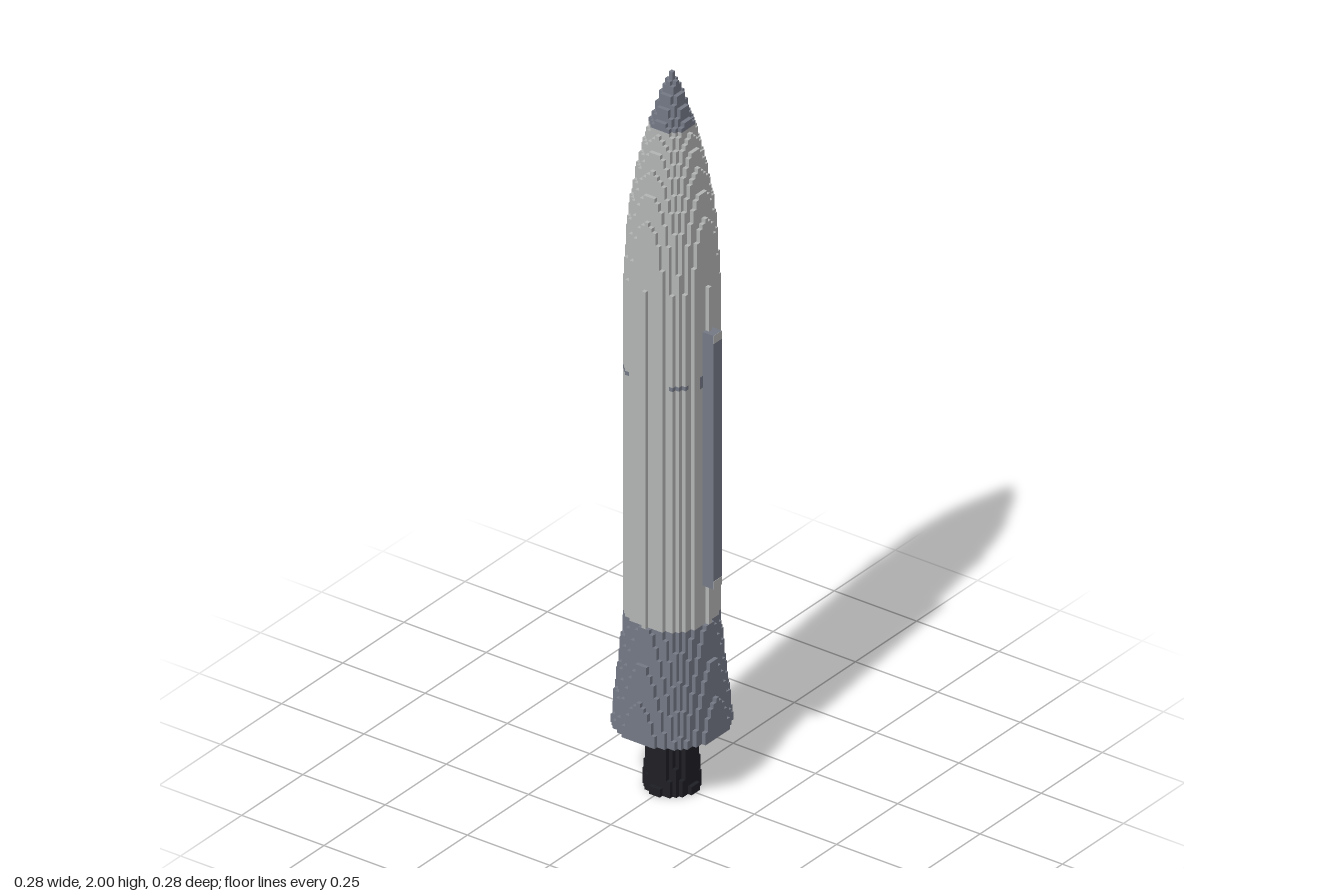
import * as THREE from 'three';
import { mergeGeometries } from 'three/addons/utils/BufferGeometryUtils.js';

const V = 1 / 90; // edge of one block; the rocket is 180 blocks tall

function material(name, color) {
  const m = new THREE.MeshStandardMaterial({ color });
  m.name = name;
  return m;
}

// Stepped outline of a disc of blocks with radius r
function outline(r) {
  const n = Math.floor(r + 1e-6);
  const side = [];
  for (let z = -n; z <= n; z++) {
    const w = Math.floor(Math.sqrt(Math.max(0, r * r - z * z)) + 1e-6) + 0.5;
    const last = side[side.length - 1];
    if (last && last[0] === w) last[1] = z + 0.5;
    else side.push([w, z - 0.5], [w, z + 0.5]);
  }
  const left = side.map(([x, z]) => [-x, z]).reverse();
  return [...side, ...left].map(([x, z]) => new THREE.Vector2(x * V, z * V));
}

// Stack of stepped discs or rings; equal neighbouring layers become one slab
function stack(name, mat, from, to, radius, inner = () => 0) {
  const geometries = [];
  const section = (j) => [outline(radius(j)), inner(j) > 0 ? outline(inner(j)) : null];
  const key = (s) => JSON.stringify(s);
  let start = from;
  while (start < to) {
    const s = section(start);
    let end = start + 1;
    while (end < to && key(section(end)) === key(s)) end++;
    const shape = new THREE.Shape(s[0]);
    if (s[1]) shape.holes.push(new THREE.Path(s[1]));
    const g = new THREE.ExtrudeGeometry(shape, { depth: (end - start) * V, bevelEnabled: false });
    g.rotateX(-Math.PI / 2);
    g.translate(0, start * V, 0);
    geometries.push(g);
    start = end;
  }
  const mesh = new THREE.Mesh(mergeGeometries(geometries), mat);
  mesh.name = name;
  return mesh;
}

// Box with its size and centre given in blocks
function box(name, mat, size, centre) {
  const mesh = new THREE.Mesh(new THREE.BoxGeometry(...size.map((s) => s * V)), mat);
  mesh.position.set(...centre.map((c) => c * V));
  mesh.name = name;
  return mesh;
}

export function createModel() {
  const hull = material('light grey hull', 0xb3b4b4);
  const slate = material('slate grey', 0x747985);
  const black = material('engine black', 0x1e1f25);
  const rocket = new THREE.Group();
  rocket.name = 'rocket';

  // Body tube, rounded nose and dark tip
  const nose = (j) => 10 * (1 - Math.pow((j - 128) / 52, 2.07));
  rocket.add(stack('body', hull, 44, 128, () => 10));
  rocket.add(stack('nose', hull, 128, 167, nose));
  rocket.add(stack('noseTip', slate, 167, 180, nose));

  // Flared, hollow tail skirt
  const skirt = (j) => 12.95 - ((j - 16) * 2.95) / 28;
  rocket.add(stack('tailSkirt', slate, 16, 44, skirt, (j) => skirt(j) - 2));

  // Engine: hollow bell with a lip, and the chamber inside the skirt
  const bell = (j) => (j < 2 ? 6.1 : 5.9 - (j - 2) * 0.055);
  rocket.add(stack('engineBell', black, 0, 12, bell, (j) => bell(j) - 1.6));
  rocket.add(stack('engineThroat', black, 12, 18, bell));
  rocket.add(stack('engineChamber', black, 18, 44, () => 4.2));

  // Cable duct on the left side with pale end plates
  rocket.add(box('cableDuct', slate, [3, 64, 3], [11, 86, 0]));
  for (const y of [55, 117]) {
    rocket.add(box('ductEndPlate', hull, [0.2, 2, 3], [12.45, y, 0]));
  }
  rocket.add(box('ductBracket', slate, [1.1, 3, 5], [9.02, 105.5, 0]));

  // Small vents on the four diagonals
  for (const sx of [-1, 1]) {
    for (const sz of [-1, 1]) {
      for (const [x, z] of [[8, 6], [6, 8], [7, 7]]) {
        rocket.add(box('vent', slate, [1.06, 1, 1.06], [sx * x, 105.5, sz * z]));
      }
    }
  }
  return rocket;
}
